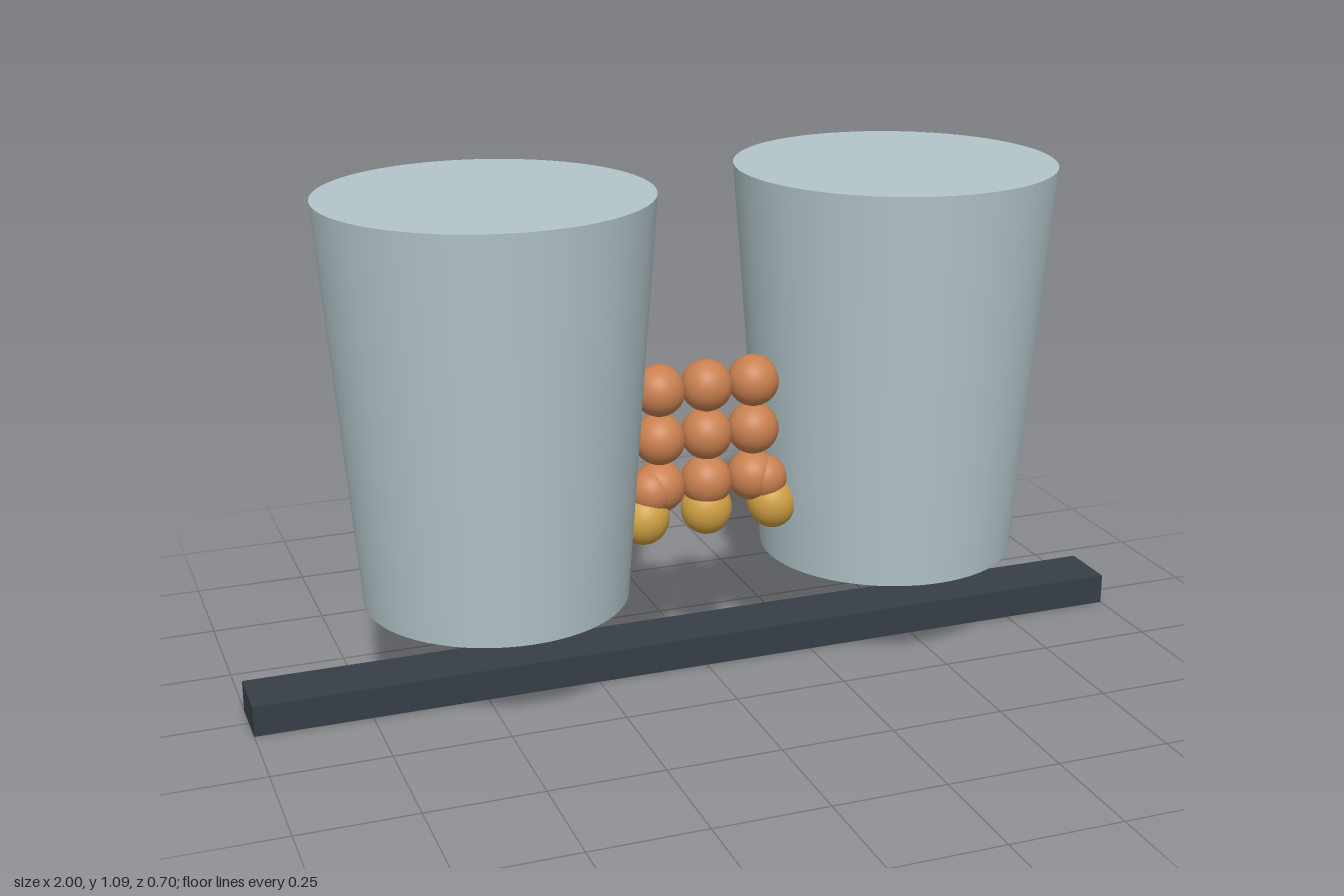
import * as THREE from 'three';

export function createModel() {
  const model = new THREE.Group();
  const paint = (name, color) => {
    const m = new THREE.MeshStandardMaterial({ color });
    m.name = name;
    return m;
  };
  const drumGrey = paint('pale blue grey', 0xb3c5ca);
  const barDark = paint('dark slate', 0x363e47);
  const copper = paint('copper orange', 0xc98050);
  const gold = paint('gold', 0xcfa043);

  const add = (name, geometry, material, x, y, z) => {
    const mesh = new THREE.Mesh(geometry, material);
    mesh.name = name;
    mesh.position.set(x, y, z);
    model.add(mesh);
    return mesh;
  };

  // Long bar on the ground
  add('baseBar', new THREE.BoxGeometry(2, 0.068, 0.132), barDark, 0, 0.034, 0);

  // Pair of tapered drums floating above the bar
  const drum = new THREE.CylinderGeometry(0.35, 0.283, 0.872, 64);
  for (const s of [-1, 1]) {
    add(s > 0 ? 'leftDrum' : 'rightDrum', drum, drumGrey, s * 0.457, 0.651, 0);
  }

  // Three by three grid of beads between the drums
  const bead = new THREE.SphereGeometry(0.056, 32, 20);
  for (const y of [0.65, 0.542, 0.435]) {
    for (const x of [-0.107, 0, 0.107]) add('bead', bead, copper, x, y, 0.06);
  }

  // Outer beads tucked against the drums
  const sideBead = new THREE.SphereGeometry(0.05, 32, 20);
  for (const s of [-1, 1]) add('sideBead', sideBead, copper, s * 0.13, 0.43, 0.07);

  // Gold tips under the beads, the outer two splayed
  for (const s of [-1, 0, 1]) {
    const tip = add('goldTip', bead, gold, s * 0.146, 0.372, s ? 0.074 : 0.06);
    tip.scale.set(s ? 0.95 : 1, 1.04, 0.95);
    tip.rotation.z = s * 0.3;
  }

  return model;
}
